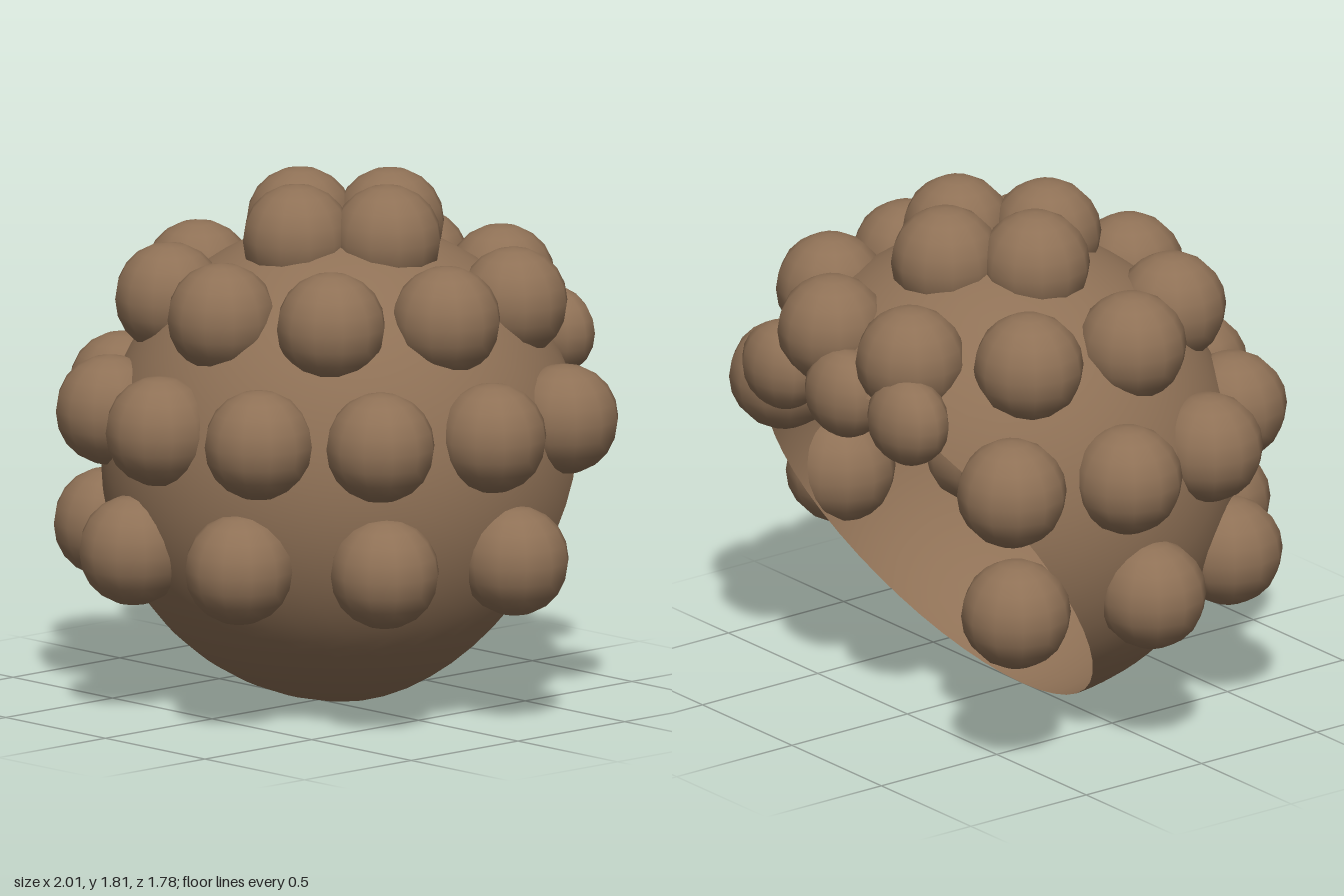
import * as THREE from 'three';

const RADIUS = 0.83;
const CENTRE = new THREE.Vector3(0, 0.83, -0.115);

export function createModel() {
  const group = new THREE.Group();
  group.name = 'curlyWig';
  const hair = new THREE.MeshStandardMaterial({ color: 0x8f7156, side: THREE.DoubleSide });

  // open cap, tilted so that its opening faces back and down
  const cap = new THREE.Mesh(
    new THREE.SphereGeometry(RADIUS, 48, 32, 0, Math.PI * 2, 0, 1.996), hair);
  cap.name = 'cap';
  cap.position.copy(CENTRE);
  cap.rotation.x = THREE.MathUtils.degToRad(58);
  group.add(cap);

  const curlGeometry = new THREE.SphereGeometry(1, 12, 10);
  function addCurl(parent, name, x, y, z, sx, sy = sx, sz = sx) {
    const curl = new THREE.Mesh(curlGeometry, hair);
    curl.name = name;
    curl.position.set(x, y, z);
    curl.scale.set(sx, sy, sz);
    parent.add(curl);
  }

  // rings of curls: angles in degrees, 0 at the front, turning towards +x
  const rings = [
    { name: 'crownCurls', y: 1.63, r: 0.218, start: 0, step: 90, count: 4 },
    { name: 'upperCurls', y: 1.41, r: 0.6, start: 2.9, step: 40, count: 9 },
    { name: 'middleCurls', y: 1.03, r: 0.81, start: -124, step: 30, count: 9 },
    { name: 'lowerCurls', y: 0.59, r: 0.815, start: -123, step: 36, count: 7 },
  ];
  for (const { name, y, r, start, step, count } of rings) {
    const ring = new THREE.Group();
    ring.name = name;
    for (let i = 0; i < count; i++) {
      const a = THREE.MathUtils.degToRad(start + i * step);
      addCurl(ring, 'curl', Math.sin(a) * r, y, CENTRE.z + Math.cos(a) * r, 0.19);
    }
    group.add(ring);
  }

  // small flattened curls along the top of the opening
  const nape = new THREE.Group();
  nape.name = 'napeCurls';
  for (const x of [-0.35, 0, 0.35]) addCurl(nape, 'smallCurl', x, 1.245, -0.768, 0.168, 0.155, 0.126);
  group.add(nape);

  return group;
}
